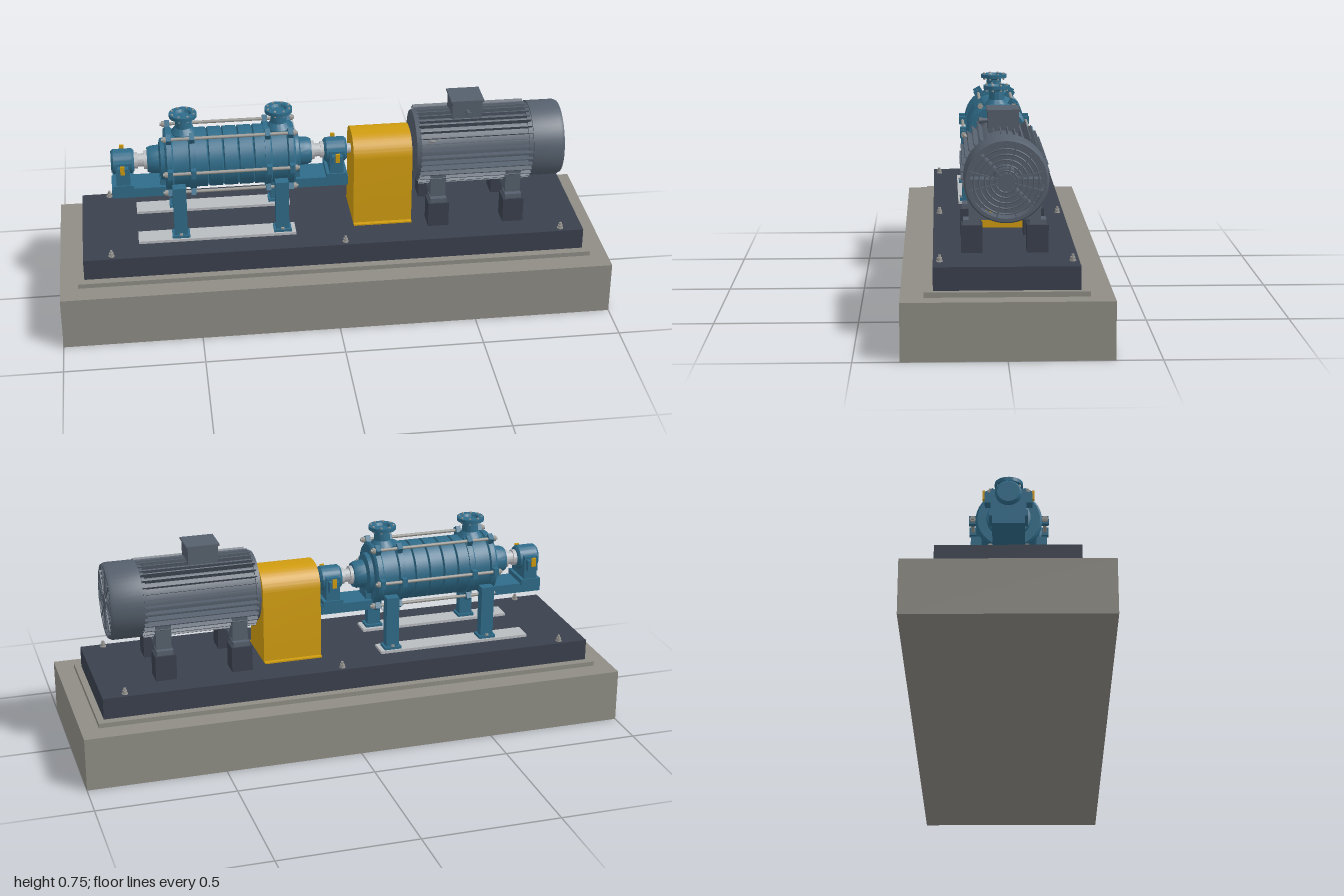
import * as THREE from 'three';
import { toCreasedNormals, mergeGeometries } from 'three/addons/utils/BufferGeometryUtils.js';

const AXIS = 0.557; // height of the shaft line

export function createModel() {
  const model = new THREE.Group();
  const mat = (name, color, extra = {}) => {
    const m = new THREE.MeshStandardMaterial({ color, ...extra });
    m.name = name;
    return m;
  };
  const concrete = mat('concrete', 0x8f8d85);
  const skid = mat('dark skid paint', 0x3a404d);
  const grey = mat('motor grey', 0x56606d);
  const blue = mat('pump blue', 0x2f6c8a);
  const yellow = mat('safety yellow', 0xd09c10);
  const steel = mat('steel', 0x9a9994);
  const pale = mat('bright metal', 0xb9bcc0);

  const add = (name, geo, material, parent = model) => {
    const m = new THREE.Mesh(geo, material);
    m.name = name;
    parent.add(m);
    return m;
  };
  // box from its minimum and maximum corners
  const boxGeo = (x0, x1, y0, y1, z0, z1) =>
    new THREE.BoxGeometry(x1 - x0, y1 - y0, z1 - z0).translate((x0 + x1) / 2, (y0 + y1) / 2, (z0 + z1) / 2);
  const box = (name, material, parent, ...c) => add(name, boxGeo(...c), material, parent);
  // turned shape around the shaft line, points are [x, radius]
  const turned = (name, material, parent, pts, sides = 40) => {
    const g = new THREE.LatheGeometry(pts.map(([x, r]) => new THREE.Vector2(r, x)), sides);
    return add(name, toCreasedNormals(g.rotateZ(-Math.PI / 2).translate(0, AXIS, 0), 0.6), material, parent);
  };
  const rodX = (r, x0, x1, y, z, sides = 12) =>
    new THREE.CylinderGeometry(r, r, x1 - x0, sides).rotateZ(Math.PI / 2).translate((x0 + x1) / 2, y, z);
  const rodY = (r, y0, y1, x, z, sides = 20) =>
    new THREE.CylinderGeometry(r, r, y1 - y0, sides).translate(x, (y0 + y1) / 2, z);
  const group = (name) => {
    const g = new THREE.Group();
    g.name = name;
    model.add(g);
    return g;
  };

  // Foundation, grout and skid
  box('foundation', concrete, model, -1, 1, 0, 0.195, -0.347, 0.347);
  box('grout', concrete, model, -0.935, 0.935, 0.195, 0.212, -0.27, 0.27);
  box('skid', skid, model, -0.912, 0.912, 0.212, 0.29, -0.24, 0.24);
  const bolts = [];
  for (const x of [-0.81, 0.035, 0.83]) for (const z of [-0.218, 0.218])
    bolts.push(rodY(0.011, 0.29, 0.293, x, z), rodY(0.009, 0.293, 0.304, x, z, 6), rodY(0.005, 0.304, 0.313, x, z, 10));
  add('anchorBolts', mergeGeometries(bolts), steel);

  // Motor body with end shields
  const motor = group('motor');
  turned('motorBody', grey, motor, [[0.3, 0], [0.3, 0.06], [0.308, 0.1], [0.308, 0.128], [0.325, 0.132], [0.325, 0.122],
    [0.72, 0.122], [0.72, 0.13], [0.738, 0.13], [0.738, 0]], 48);

  // Cooling fins, shorter over the top and bottom
  const fins = [], N = 36;
  for (let i = 0; i < N; i++) {
    const a = (i + 0.5) / N * Math.PI * 2;
    const top = Math.abs(Math.cos(a)) > 0.9 ? 0.136 : 0.147;
    fins.push(boxGeo(0.32, 0.732, 0.115, top, -0.002, 0.002).rotateX(a).translate(0, AXIS, 0));
  }
  add('coolingFins', mergeGeometries(fins), grey, motor);

  // Fan cowl with a round grille
  turned('fanCowl', grey, motor, [[0.735, 0.133], [0.735, 0.139], [0.838, 0.139], [0.85, 0.133], [0.85, 0.122],
    [0.842, 0.122], [0.842, 0.13], [0.735, 0.133]], 48);
  const grille = [rodX(0.028, 0.838, 0.852, AXIS, 0, 24)];
  for (const r of [0.036, 0.053, 0.071, 0.089, 0.107])
    grille.push(new THREE.TorusGeometry(r, 0.0026, 6, 48).rotateY(Math.PI / 2).translate(0.846, AXIS, 0));
  for (let i = 0; i < 12; i++)
    grille.push(boxGeo(0.841, 0.851, 0.02, 0.13, -0.002, 0.002).rotateX((i + 0.5) * Math.PI / 6).translate(0, AXIS, 0));
  add('fanGrille', mergeGeometries(grille), grey, motor);
  const blades = [rodX(0.04, 0.74, 0.825, AXIS, 0, 24)];
  for (let i = 0; i < 8; i++)
    blades.push(boxGeo(0.765, 0.815, 0.03, 0.115, -0.002, 0.002).rotateX(i * Math.PI / 4).translate(0, AXIS, 0));
  add('fan', mergeGeometries(blades), grey, motor);

  // Terminal box, cable gland and lifting eye
  box('terminalBox', grey, motor, 0.445, 0.555, 0.67, 0.743, -0.052, 0.052);
  box('terminalBoxLid', grey, motor, 0.44, 0.56, 0.743, 0.75, -0.056, 0.056);
  const gland = new THREE.CylinderGeometry(0.008, 0.008, 0.025, 12).rotateX(Math.PI / 2).translate(0.5, 0.706, 0.062);
  const cap = new THREE.CylinderGeometry(0.011, 0.011, 0.012, 6).rotateX(Math.PI / 2).translate(0.5, 0.706, 0.076);
  add('cableGland', mergeGeometries([gland, cap]), grey, motor);
  add('liftingEye', new THREE.TorusGeometry(0.01, 0.0035, 8, 20).translate(0, 0.146, 0)
    .rotateX(1.04).translate(0.36, AXIS, 0), steel, motor);

  // Motor feet: slotted cradle, foot pads and pedestals
  for (const x of [0.388, 0.666]) {
    const s = new THREE.Shape();
    s.moveTo(-0.12, 0.4); s.lineTo(0.12, 0.4); s.lineTo(0.12, 0.5); s.lineTo(0.1, 0.5);
    s.lineTo(0.062, 0.45); s.lineTo(0.062, 0.414); s.lineTo(-0.062, 0.414); s.lineTo(-0.062, 0.45);
    s.lineTo(-0.1, 0.5); s.lineTo(-0.12, 0.5);
    const g = new THREE.ExtrudeGeometry(s, { depth: 0.056, bevelEnabled: false });
    add('motorCradle', g.rotateY(Math.PI / 2).translate(x - 0.028, 0, 0), grey, motor);
    for (const k of [-1, 1]) {
      const pad = boxGeo(x - 0.03, x + 0.03, 0.383, 0.4, -0.028, 0.028).translate(0, 0, k * 0.111);
      const ped = boxGeo(x - 0.038, x + 0.038, 0.29, 0.383, -0.036, 0.036).translate(0, 0, k * 0.11);
      add('motorFoot', pad, grey, motor);
      add('motorPedestal', ped, skid, motor);
    }
  }

  // Coupling guard
  const guard = new THREE.Shape();
  guard.moveTo(-0.096, 0.29);
  guard.lineTo(0.096, 0.29);
  guard.lineTo(0.096, 0.55);
  guard.absarc(0.016, 0.55, 0.08, 0, Math.PI / 2);
  guard.absarc(-0.016, 0.55, 0.08, Math.PI / 2, Math.PI);
  guard.closePath();
  const guardGeo = new THREE.ExtrudeGeometry(guard, { depth: 0.215, bevelEnabled: false, curveSegments: 14 });
  add('couplingGuard', toCreasedNormals(guardGeo.rotateY(Math.PI / 2).translate(0.08, 0, 0), 0.5), yellow);
  box('guardFlange', yellow, model, 0.08, 0.295, 0.29, 0.295, -0.112, 0.112);

  // Pump shaft
  const pump = group('pump');
  add('shaft', rodX(0.018, -0.78, 0.31, AXIS, 0, 24), pale, pump);

  // Ringed stage casings
  const stages = [[-0.5, 0]];
  for (let i = 0; i < 5; i++) {
    const a = -0.5 + i * 0.055, b = a + 0.055;
    stages.push([a, 0.1], [a + 0.004, 0.108], [b - 0.004, 0.108], [b, 0.1]);
  }
  stages.push([-0.225, 0]);
  turned('stageCasings', blue, pump, stages);

  // Pump ends, mirrored about the middle of the casing
  const mid = -0.365;
  for (const k of [-1, 1]) {
    const X = (d) => mid + k * d;
    const span = (a, b) => (k > 0 ? [X(a), X(b)] : [X(b), X(a)]);
    const ring = (name, m, pts, sides) => {
      const p = pts.map(([d, r]) => [X(d), r]);
      turned(name, m, pump, k > 0 ? p : p.reverse(), sides);
    };
    ring('endCasing', blue, [[0.125, 0], [0.125, 0.115], [0.145, 0.115], [0.15, 0.108], [0.205, 0.108], [0.21, 0.115],
      [0.228, 0.115], [0.235, 0.108], [0.235, 0]]);
    ring('endCover', blue, [[0.23, 0], [0.23, 0.078], [0.25, 0.075], [0.256, 0.052], [0.285, 0.05], [0.298, 0.044], [0.298, 0]]);
    ring('sealGland', pale, [[0.295, 0], [0.295, 0.034], [0.31, 0.034], [0.31, 0.024], [0.332, 0.024], [0.332, 0.03],
      [0.345, 0.03], [0.345, 0]], 28);

    // Bearing housing with sight glass
    ring('bearingHousing', blue, [[0.345, 0], [0.345, 0.038], [0.353, 0.045], [0.42, 0.045], [0.428, 0.038], [0.428, 0]]);
    box('bearingBlock', blue, pump, ...span(0.362, 0.412), 0.47, 0.575, -0.06, 0.06);
    box('bearingLugs', blue, pump, ...span(0.368, 0.406), 0.525, 0.565, -0.08, 0.08);
    box('bearingFoot', blue, pump, ...span(0.35, 0.425), 0.465, 0.488, -0.065, 0.065);
    for (const s of [-1, 1])
      box('sightGlass', yellow, pump, X(0.388) - 0.008, X(0.388) + 0.008, 0.545, 0.578, s * 0.0835 - 0.004, s * 0.0835 + 0.004);

    // Bearing bracket arm
    box('bracketArm', blue, pump, ...span(0.2, 0.43), 0.434, 0.47, -0.055, 0.055);
    box('bracketRib', blue, pump, ...span(0.225, 0.255), 0.46, 0.5, -0.04, 0.04);

    // Legs
    const lx = k < 0 ? -0.555 : -0.185;
    for (const s of [-1, 1]) {
      add('pumpLeg', boxGeo(lx - 0.024, lx + 0.024, 0.308, 0.5, -0.018, 0.018).translate(0, 0, s * 0.113), blue, pump);
      add('legFoot', boxGeo(lx - 0.032, lx + 0.032, 0.3, 0.31, -0.026, 0.026).translate(0, 0, s * 0.113), blue, pump);
      add('legBolt', rodY(0.007, 0.31, 0.316, lx, s * 0.134, 6), steel, pump);
    }

    // Nozzle and flange
    const nx = k < 0 ? -0.527 : -0.183;
    const prof = [[0, 0.62], [0.048, 0.62], [0.046, 0.665], [0.03, 0.685], [0.028, 0.718], [0.034, 0.724], [0.05, 0.724],
      [0.05, 0.738], [0.03, 0.738], [0.024, 0.728], [0, 0.728]];
    const nozzle = new THREE.LatheGeometry(prof.map(([r, y]) => new THREE.Vector2(r, y)), 32);
    add('nozzle', toCreasedNormals(nozzle.translate(nx, 0, 0), 0.6), blue, pump);
    const studs = [];
    for (let i = 0; i < 8; i++) {
      const a = (i + 0.5) * Math.PI / 4;
      studs.push(rodY(0.004, 0.717, 0.742, nx + 0.041 * Math.cos(a), 0.041 * Math.sin(a), 6));
    }
    add('flangeBolts', mergeGeometries(studs), steel, pump);
  }

  // Tie rods with nuts and blue lugs
  const rods = [], lugs = [];
  for (let i = 0; i < 6; i++) {
    const a = Math.PI / 6 + i * Math.PI / 3;
    const y = AXIS + 0.125 * Math.cos(a), z = 0.125 * Math.sin(a);
    rods.push(rodX(0.006, -0.61, -0.12, y, z));
    for (const x of [-0.604, -0.137]) rods.push(rodX(0.011, x, x + 0.011, y, z, 6));
    for (const x of [-0.593, -0.51, -0.238, -0.155])
      lugs.push(boxGeo(x, x + 0.018, 0.09, 0.138, -0.015, 0.015).rotateX(a).translate(0, AXIS, 0));
  }
  add('tieRods', mergeGeometries(rods), steel, pump);
  add('tieRodLugs', mergeGeometries(lugs), blue, pump);

  // Levelling plates under the legs
  for (const s of [-1, 1])
    add('solePlate', boxGeo(-0.71, -0.137, 0.29, 0.3, -0.037, 0.037).translate(0, 0, s * 0.109), pale, pump);

  return model;
}
